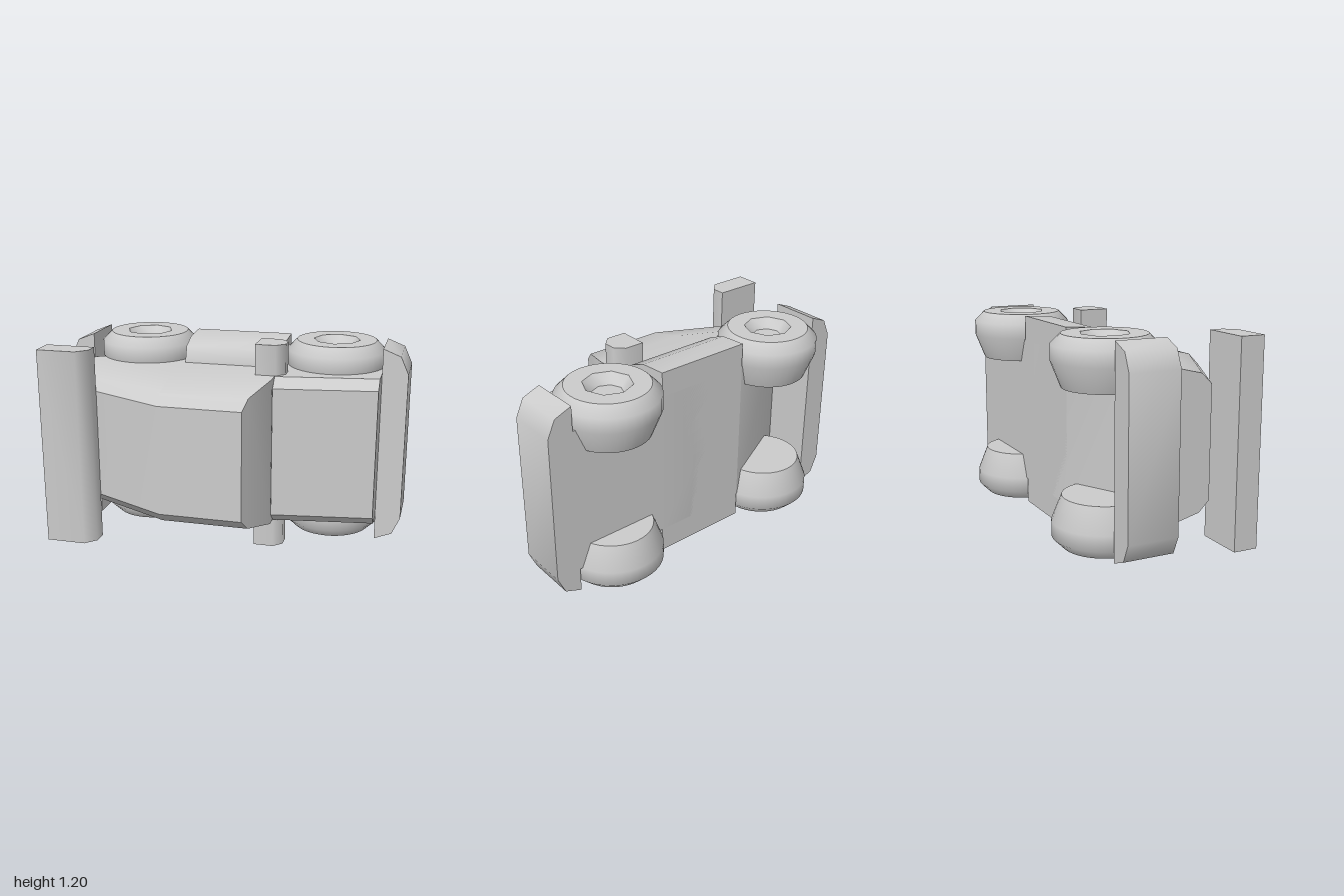
import * as THREE from 'three';
import { toCreasedNormals } from 'three/addons/utils/BufferGeometryUtils.js';

const MID = 0.6; // mid height, the symmetry plane of the car lying on its side

export function createModel() {
  const car = new THREE.Group();
  const material = new THREE.MeshStandardMaterial({ color: 0xcccccc });

  const add = (parent, name, geometry, crease = 0.6) => {
    const mesh = new THREE.Mesh(toCreasedNormals(geometry, crease), material);
    mesh.name = name;
    parent.add(mesh);
    return mesh;
  };

  // Closed ring from half of a section: points [x, half width, z] from floor to roof
  const ring = (half) => [
    ...half.map(([x, w, z]) => [x, MID + w, z]),
    ...half.slice().reverse().map(([x, w, z]) => [x, MID - w, z]),
  ];

  // Skin over rings that run towards +x, capped at both ends
  const loft = (rings) => {
    const n = rings[0].length, index = [];
    for (let r = 0; r < rings.length - 1; r++) {
      for (let i = 0; i < n; i++) {
        const j = (i + 1) % n, a = r * n, b = a + n;
        index.push(a + i, a + j, b + i, a + j, b + j, b + i);
      }
    }
    const last = (rings.length - 1) * n;
    for (let i = 0; i < n / 2 - 1; i++) {
      const k = n - 1 - i;
      index.push(i, k, i + 1, i + 1, k, k - 1);
      index.push(last + i, last + i + 1, last + k, last + i + 1, last + k - 1, last + k);
    }
    const g = new THREE.BufferGeometry();
    g.setAttribute('position', new THREE.Float32BufferAttribute(rings.flat(2), 3));
    g.setIndex(index);
    return g.toNonIndexed();
  };

  const extrude = (points, depth) => new THREE.ExtrudeGeometry(
    new THREE.Shape(points.map(([x, y]) => new THREE.Vector2(x, y))),
    { depth, bevelEnabled: false });

  // Bar standing along y with an outline in x and z
  const bar = (points, y0, y1) =>
    extrude(points, y1 - y0).rotateX(Math.PI / 2).translate(0, y1, 0);

  // Cabin: sloped tail, flat roof and raked windscreen
  const cabinSection = (x, floor, roof) => [
    [x, 0.4275, floor], [x, 0.4275, roof - 0.28], [x, 0.3725, roof - 0.06], [x, 0.3125, roof]];
  const windscreen = cabinSection(0, -0.32, 0.515).map(
    ([, w, z]) => [Math.min(0.285, 0.18 + (0.515 - z) * 0.368), w, z]);
  add(car, 'cabin', loft([
    ring(cabinSection(-0.86, -0.03, 0.24)),
    ring(cabinSection(-0.29, -0.32, 0.515)),
    ring(windscreen)]));

  // Hood
  const hoodSection = (x, top) => ring([
    [x, 0.4275, -0.32], [x, 0.4275, top - 0.06], [x, 0.3725, top]]);
  add(car, 'hood', loft([hoodSection(0.285, 0.23), hoodSection(0.855, 0.145)]));

  // Side skirts between the wheels, one piece across the car
  const skirtSection = (x) => ring([
    [x, 0.57, -0.32], [x, 0.56, -0.16], [x, 0.52, -0.06], [x, 0.43, -0.03]]);
  add(car, 'sideSkirts', loft([skirtSection(-0.29), skirtSection(0.285)]), 0.9);

  // Front and rear bumpers
  const bumperOutline = [[0.855, 0.03], [0.955, 0.07], [1, 0.17],
    [1, 1.03], [0.955, 1.13], [0.855, 1.17]];
  for (const [name, turn] of [['frontBumper', 0], ['rearBumper', Math.PI]]) {
    const g = extrude(bumperOutline, 0.29).translate(0, 0, -0.145).rotateY(turn);
    add(car, name, g.translate(0, 0, -0.175), 0.85);
  }

  // Spoiler and side mirror bar
  add(car, 'spoiler', bar([[-1, 0.315], [-0.715, 0.315], [-0.715, 0.395],
    [-0.775, 0.455], [-1, 0.455]], 0.03, 1.17), 0.85);
  add(car, 'mirrorBar', bar([[0.17, -0.01], [0.285, -0.01], [0.335, 0.04],
    [0.335, 0.11], [0.285, 0.16], [0.17, 0.16]], 0, 1.2), 0.85);

  // Wheels: rounded tyre, flat sidewall and octagonal hub recess
  const lathe = (points, sides) => new THREE.LatheGeometry(
    points.map(([r, y]) => new THREE.Vector2(r, y)), sides);
  const sidewall = new THREE.Shape().absarc(0, 0, 0.23, 0, Math.PI * 2);
  const hole = Array.from({ length: 8 }, (_, i) => new THREE.Vector2(
    0.135 * Math.cos(i * Math.PI / 4), 0.135 * Math.sin(i * Math.PI / 4)));
  sidewall.holes.push(new THREE.Path(hole));

  for (const x of [-0.57, 0.57]) {
    for (const side of [-1, 1]) {
      const wheel = new THREE.Group();
      wheel.name = (x > 0 ? 'front' : 'rear') + (side > 0 ? 'Upper' : 'Lower') + 'Wheel';
      add(wheel, 'tyre', lathe([[0, -0.14], [0.23, -0.14], [0.285, 0],
        [0.285, 0.085], [0.23, 0.14]], 40), 0.9);
      add(wheel, 'sidewall', new THREE.ShapeGeometry(sidewall, 20)
        .rotateX(-Math.PI / 2).translate(0, 0.14, 0));
      add(wheel, 'hub', lathe([[0.135, 0.14], [0.085, 0.085], [0, 0.085]], 8), 0.7);
      wheel.position.set(x, MID + side * 0.43, -0.23);
      if (side < 0) wheel.rotation.x = Math.PI;
      car.add(wheel);
    }
  }
  return car;
}
